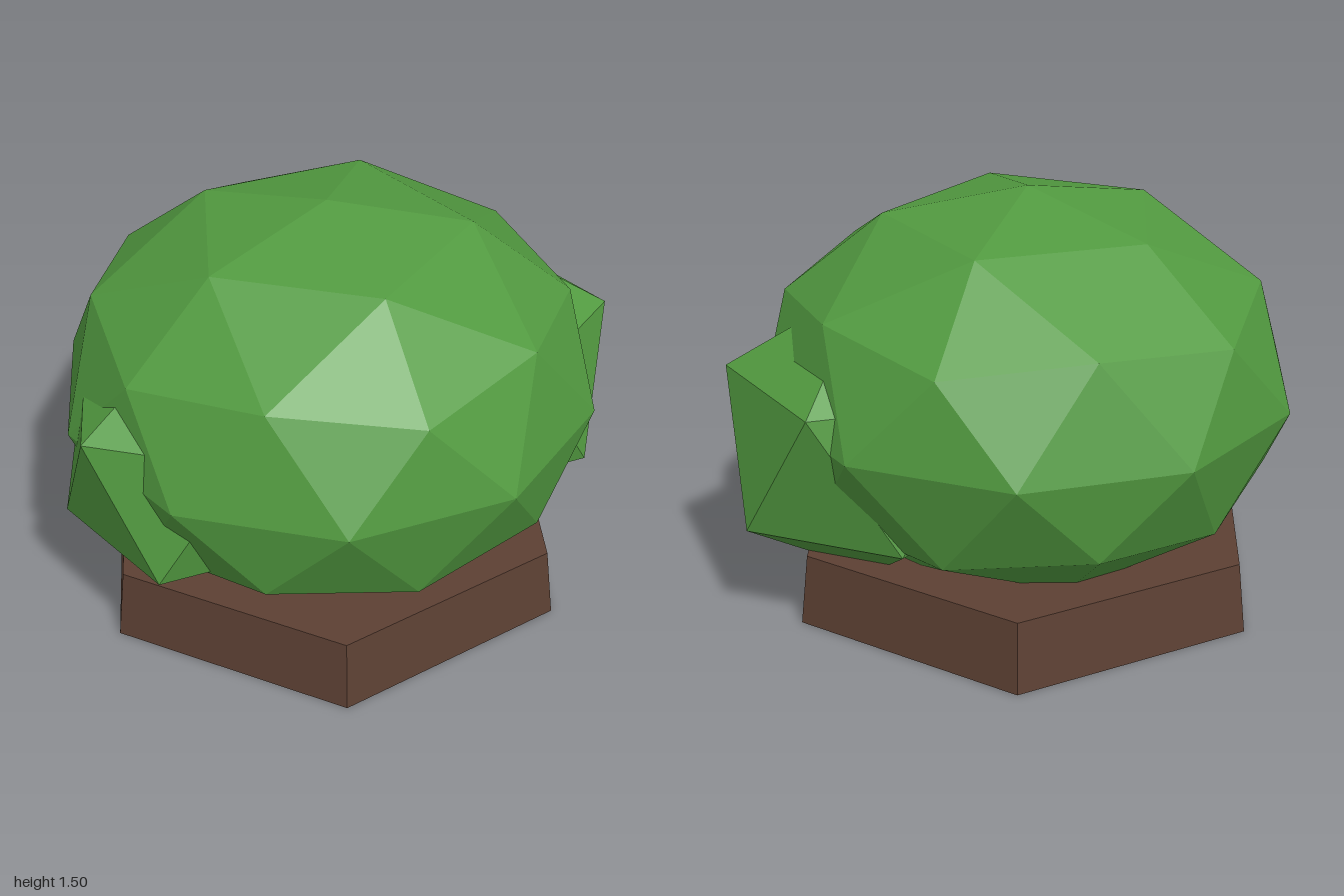
import * as THREE from 'three';

const leafGreen = new THREE.MeshStandardMaterial({ color: 0x529a40 });
const barkBrown = new THREE.MeshStandardMaterial({ color: 0x5c4033 });
leafGreen.name = 'leafGreen';
barkBrown.name = 'barkBrown';
leafGreen.flatShading = barkBrown.flatShading = true;

// Faceted foliage ball, turned so that one corner points straight up
function foliage(name, radius, detail, position, squash = 1) {
  const geometry = new THREE.IcosahedronGeometry(radius, detail);
  geometry.rotateZ(-Math.atan(2 / (1 + Math.sqrt(5))));
  geometry.scale(1, squash, 1);
  geometry.computeVertexNormals();
  const mesh = new THREE.Mesh(geometry, leafGreen);
  mesh.name = name;
  mesh.position.set(...position);
  return mesh;
}

export function createModel() {
  const bush = new THREE.Group();
  bush.name = 'bush';

  // Tapered six-sided base
  const base = new THREE.Mesh(new THREE.CylinderGeometry(0.88, 0.91, 0.26, 6), barkBrown);
  base.name = 'base';
  base.position.set(-0.05, 0.13, 0);
  bush.add(base);

  // Large squashed crown with a coarse clump on either side
  bush.add(
    foliage('crown', 0.97, 1, [-0.05, 0.78, 0], 0.72 / 0.97),
    foliage('leftClump', 0.56, 0, [0.5, 0.65, -0.23]),
    foliage('rightClump', 0.526, 0, [-0.53, 0.685, 0.29]),
  );
  return bush;
}
